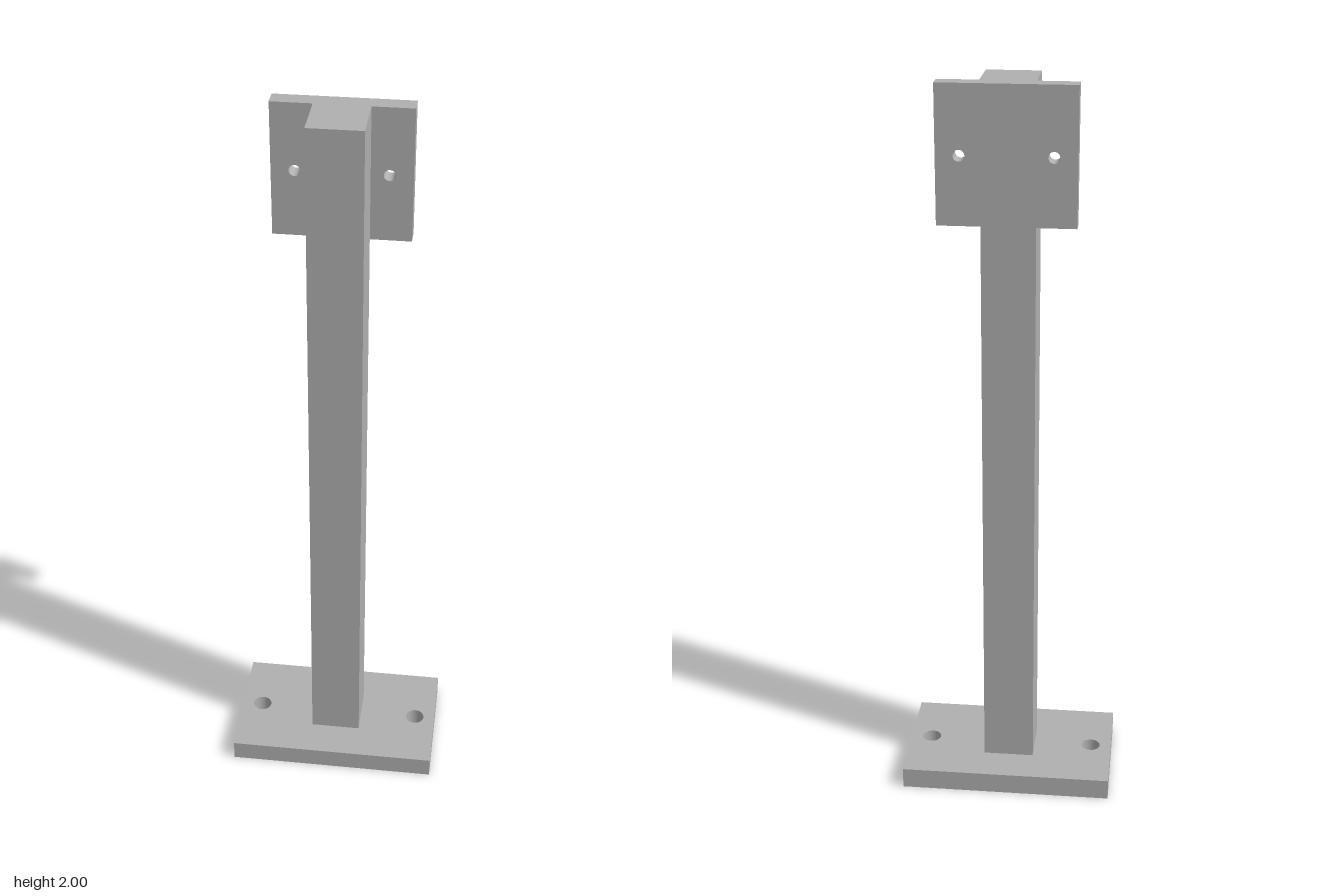
import * as THREE from 'three';

// Rectangular plate in XY, extruded along +z, with a round hole on each side
function drilledPlate(width, height, depth, holeX, holeY, holeRadius) {
  const w = width / 2, h = height / 2;
  const shape = new THREE.Shape([
    new THREE.Vector2(-w, -h), new THREE.Vector2(w, -h),
    new THREE.Vector2(w, h), new THREE.Vector2(-w, h),
  ]);
  for (const side of [-1, 1]) {
    const hole = new THREE.Path();
    hole.absarc(side * holeX, holeY, holeRadius, 0, Math.PI * 2, true);
    shape.holes.push(hole);
  }
  return new THREE.ExtrudeGeometry(shape, { depth, bevelEnabled: false, curveSegments: 32 });
}

export function createModel() {
  const group = new THREE.Group();
  group.name = 'mountingPost';
  const steel = new THREE.MeshStandardMaterial({ color: 0xb0b0b0 });
  steel.name = 'grey steel';

  const add = (name, geometry, x, y, z) => {
    const mesh = new THREE.Mesh(geometry, steel);
    mesh.name = name;
    mesh.position.set(x, y, z);
    group.add(mesh);
  };

  const baseHeight = 0.059, postSize = 0.141, plateSize = 0.353, plateDepth = 0.047;

  // Floor plate with two anchor holes
  const base = drilledPlate(0.588, plateSize, baseHeight, 0.235, 0, 0.0265);
  base.rotateX(-Math.PI / 2);
  add('basePlate', base, 0, 0, 0);

  // Square upright
  const postHeight = 2 - baseHeight;
  add('post', new THREE.BoxGeometry(postSize, postHeight, postSize), 0, baseHeight + postHeight / 2, 0);

  // Square plate behind the top of the post, with two screw holes
  add('mountingPlate', drilledPlate(plateSize, plateSize, plateDepth, 0.1175, 0, 0.0147),
    0, 2 - plateSize / 2, -postSize / 2 - plateDepth);

  return group;
}
